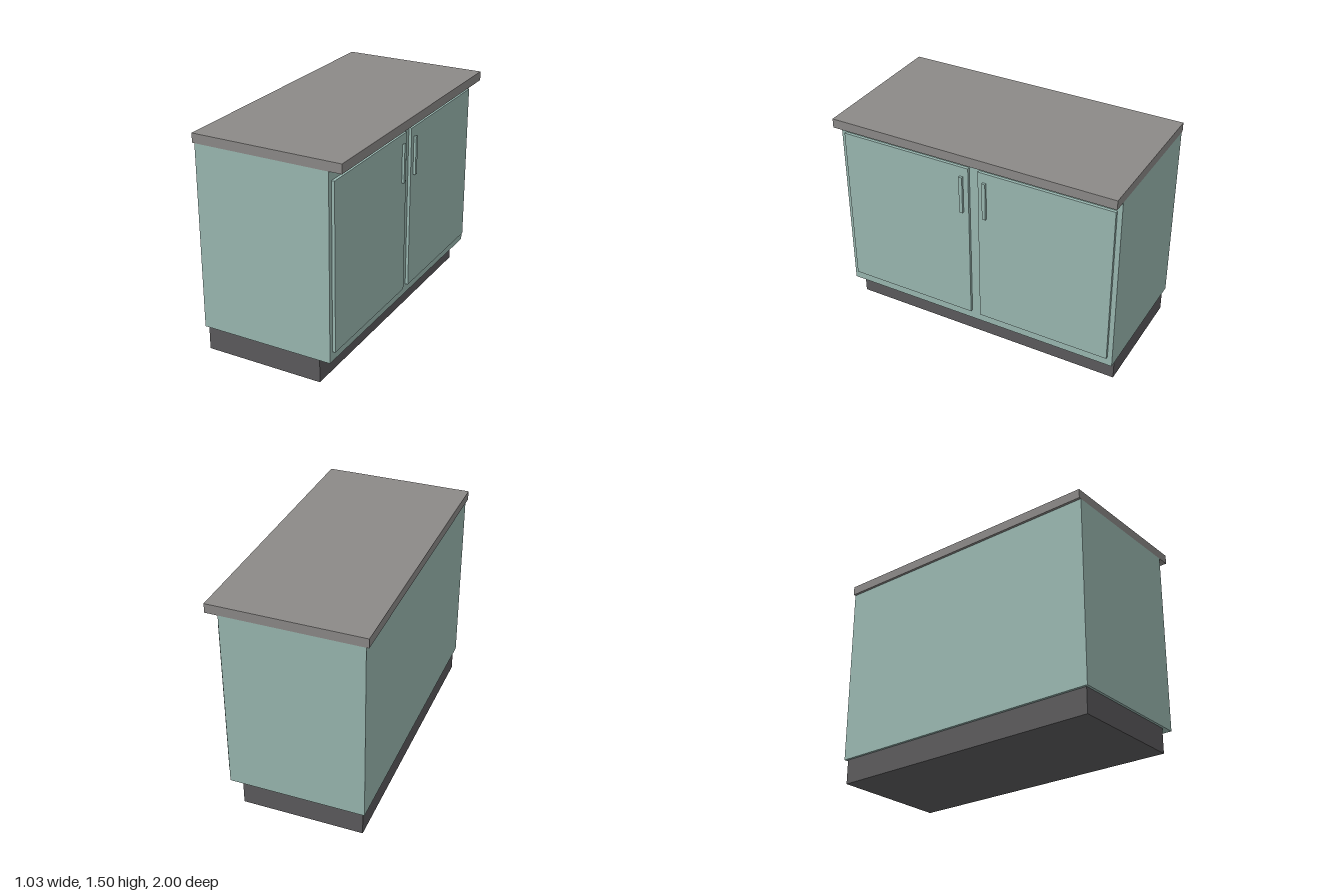
import * as THREE from 'three';

function material(name, color) {
  const m = new THREE.MeshStandardMaterial({ color });
  m.name = name;
  return m;
}

export function createModel() {
  const group = new THREE.Group();
  group.name = 'baseCabinet';
  const paint = material('sage green paint', 0x9ab8b1);
  const stone = material('grey worktop', 0x8c8a88);
  const dark = material('dark plinth', 0x5c5b5d);

  // Box given by its minimum and maximum on each axis
  function box(name, mat, [x0, x1], [y0, y1], [z0, z1]) {
    const mesh = new THREE.Mesh(new THREE.BoxGeometry(x1 - x0, y1 - y0, z1 - z0), mat);
    mesh.position.set((x0 + x1) / 2, (y0 + y1) / 2, (z0 + z1) / 2);
    mesh.name = name;
    group.add(mesh);
  }

  // Recessed plinth, carcass and overhanging worktop
  box('plinth', dark, [-0.483, 0.347], [0, 0.17], [-0.983, 0.983]);
  box('carcass', paint, [-0.5, 0.43], [0.17, 1.437], [-1, 1]);
  box('worktop', stone, [-0.517, 0.517], [1.437, 1.5], [-1, 1]);

  // Mirrored pair of doors on the +x side, each with a bar handle
  for (const s of [-1, 1]) {
    const side = s > 0 ? 'front' : 'back';
    const span = (a, b) => (s > 0 ? [a, b] : [-b, -a]);
    box(side + 'Door', paint, [0.43, 0.45], [0.237, 1.37], span(0.035, 0.967));
    box(side + 'Handle', paint, [0.45, 0.467], [1.037, 1.303], span(0.071, 0.095));
  }
  return group;
}
